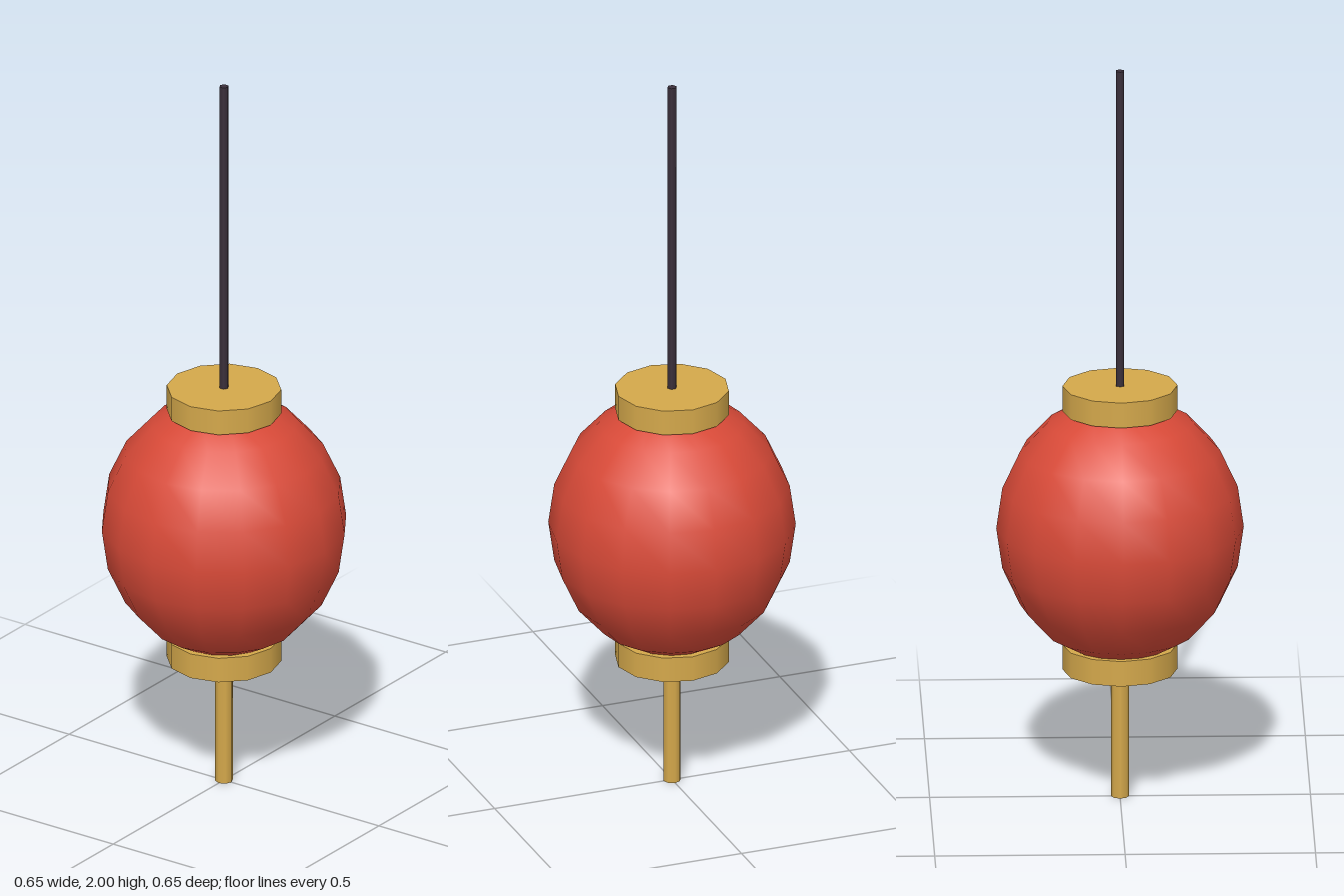
import * as THREE from 'three';

export function createModel() {
  const lantern = new THREE.Group();
  lantern.name = 'hangingLantern';

  const material = (name, color) => {
    const m = new THREE.MeshStandardMaterial({ color });
    m.name = name;
    return m;
  };
  const red = material('red paper', 0xd94a38);
  const gold = material('gold trim', 0xd4a84b);
  const dark = material('dark cord', 0x3a2f3a);

  // Upright cylinder between two heights
  const rod = (name, radius, bottom, top, sides, mat) => {
    const mesh = new THREE.Mesh(new THREE.CylinderGeometry(radius, radius, top - bottom, sides), mat);
    mesh.name = name;
    mesh.position.y = (bottom + top) / 2;
    lantern.add(mesh);
  };

  // Slightly tall paper globe
  const globe = new THREE.Mesh(new THREE.SphereGeometry(0.325, 16, 10), red);
  globe.name = 'globe';
  globe.scale.y = 1.1;
  globe.position.y = 0.741;
  lantern.add(globe);

  // Rims above and below the globe
  rod('topCap', 0.151, 1.063, 1.132, 12, gold);
  rod('bottomCap', 0.151, 0.35, 0.419, 12, gold);

  // Hanging cord and tassel
  rod('cord', 0.0125, 1.1, 2, 6, dark);
  rod('tassel', 0.0235, 0, 0.38, 8, gold);

  return lantern;
}
